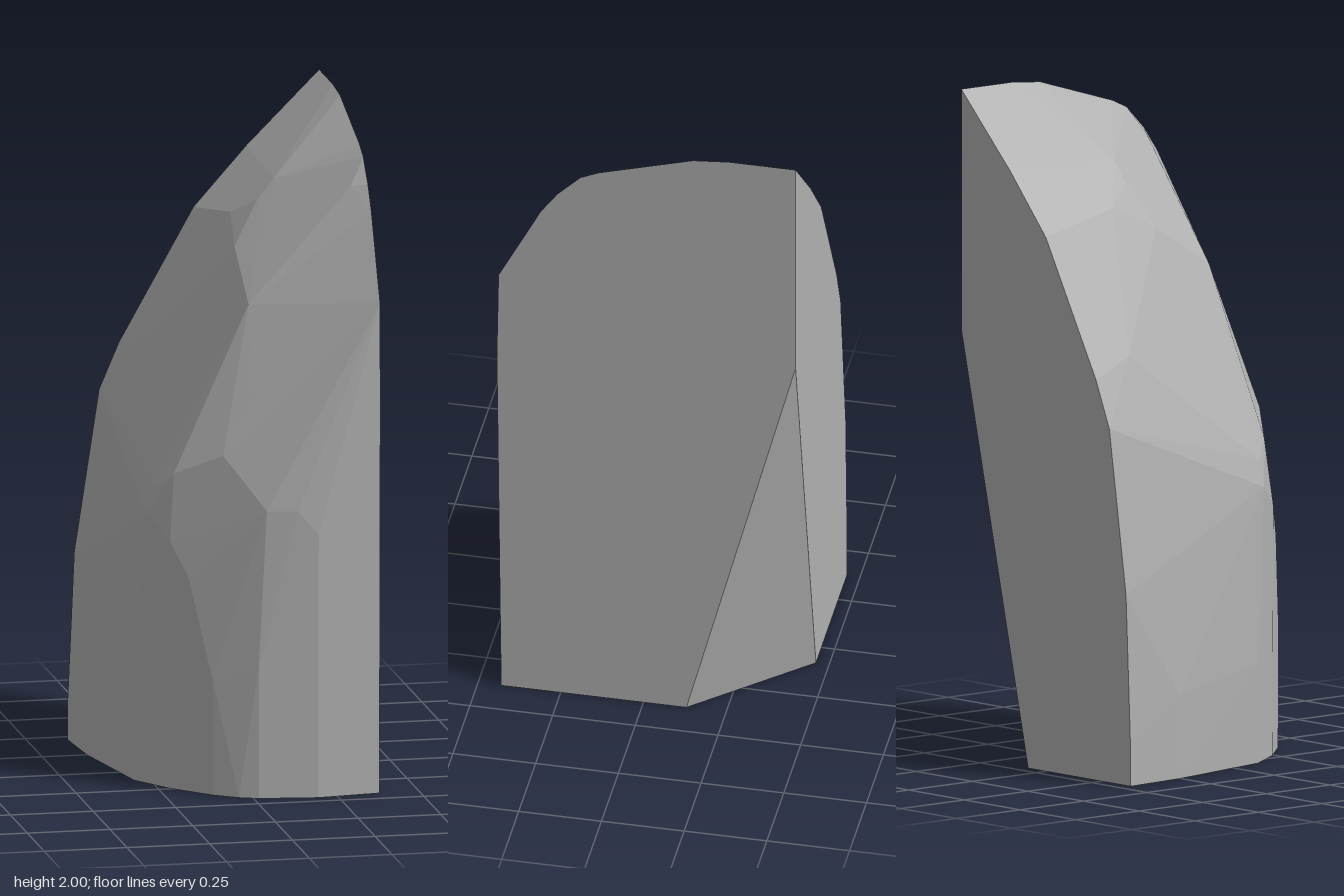
import * as THREE from 'three';
import { ConvexGeometry } from 'three/addons/geometries/ConvexGeometry.js';

const stone = new THREE.MeshStandardMaterial({ color: 0xb0b0b0 });
stone.name = 'grey stone';

const SIDE = 0.38;  // flat split face on +x
const BACK = -0.46; // flat split face on -z

// outline of the back split face, as x, y
const backOutline = [
  [-0.38, 0], [-0.38, 0.12], [-0.36, 0.57], [-0.285, 1.06], [-0.225, 1.2],
  [0, 1.6], [0.16, 1.78], [SIDE, 2],
].map(([x, y]) => [x, y, BACK]);

// outline of the side split face, as z, y
const sideOutline = [
  [-0.26, 2], [-0.15, 1.99], [0.135, 1.905], [0.19, 1.88], [0.26, 1.81],
  [0.31, 1.74], [0.438, 1.49], [0.443, 1.2], [0.43, 0],
].map(([z, y]) => [SIDE, y, z]);

// wedge chipped off the lower corner where the split faces meet
const chip = [[SIDE, 1.28, BACK], [SIDE, 0, -0.13], [0.08, 0, BACK]];

// rounded foot, as x, z
const foot = [
  [-0.365, -0.25], [-0.347, -0.17], [-0.297, 0.115], [-0.215, 0.243],
  [-0.11, 0.358], [-0.04, 0.408], [0.015, 0.431], [0.19, 0.455],
].map(([x, z]) => [x, 0, z]);

// corners of the weathered wall
const wall = [
  [-0.365, 0.25, -0.25], [-0.3, 0.3, 0.115], [-0.27, 0.82, 0.162], [-0.215, 0.75, 0.247],
  [-0.17, 0.65, 0.297], [-0.11, 0.35, 0.36], [0.015, 0.4, 0.433],
  [0.04, 0.87, 0.43], [0.13, 0.87, 0.452], [0.19, 0.8, 0.462],
];

// corners of the shoulder and the sloping crown
const crown = [
  [-0.27, 1.06, -0.37], [-0.19, 1.25, -0.3], [0.05, 1.65, -0.155], [0.03, 1.58, 0],
  [0.11, 1.71, -0.05], [0.16, 1.77, -0.05], [0.13, 1.69, 0.02],
  [-0.245, 0.9, 0.165], [-0.2, 0.95, 0.225], [0.03, 1.45, 0.208],
  [0.335, 1.8, 0.23], [0.03, 1.19, 0.32], [-0.07, 1.02, 0.32],
];

export function createModel() {
  const group = new THREE.Group();
  group.name = 'splitRock';
  const corners = [...backOutline, ...sideOutline, ...chip, ...foot, ...wall, ...crown]
    .map((p) => new THREE.Vector3(...p));
  // the hull gives each facet its own flat normal
  const rock = new THREE.Mesh(new ConvexGeometry(corners), stone);
  rock.name = 'rock';
  group.add(rock);
  return group;
}
